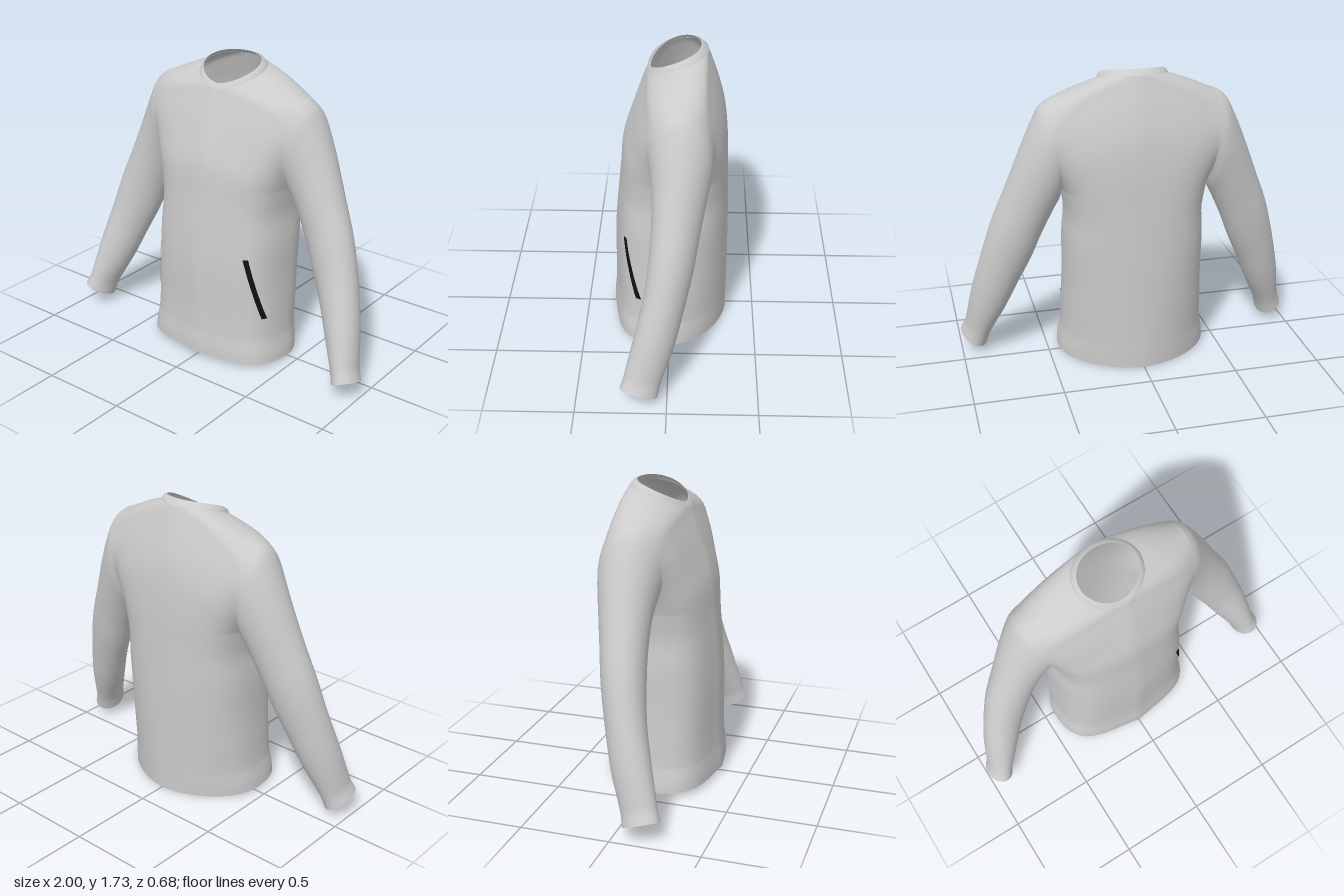
import * as THREE from 'three';
import { mergeGeometries, mergeVertices } from 'three/addons/utils/BufferGeometryUtils.js';

const grey = new THREE.MeshStandardMaterial({ color: 0xcccccc, side: THREE.DoubleSide });
const black = new THREE.MeshStandardMaterial({ color: 0x111111, side: THREE.DoubleSide });
const { lerp, smoothstep } = THREE.MathUtils;

// Smooth curve through rows of [position, ...values]
function smooth(rows) {
  const n = rows[0].length - 1;
  const curve = new THREE.CubicInterpolant(rows.map(r => r[0]), rows.flatMap(r => r.slice(1)), n);
  return p => Array.from(curve.evaluate(p));
}

// Surface from a grid of points; fn(u, v) with u across, v along
function sheet(fn, nu, nv, flip = false) {
  const pos = [], index = [];
  for (let i = 0; i <= nv; i++)
    for (let j = 0; j <= nu; j++) pos.push(...fn(j / nu, i / nv));
  for (let i = 0; i < nv; i++)
    for (let j = 0; j < nu; j++) {
      const a = i * (nu + 1) + j, b = a + 1, c = a + nu + 1, d = c + 1;
      if (flip) index.push(a, c, b, b, c, d);
      else index.push(a, b, c, b, d, c);
    }
  const g = new THREE.BufferGeometry();
  g.setAttribute('position', new THREE.Float32BufferAttribute(pos, 3));
  g.setIndex(index);
  return g;
}

function part(name, sheets, material = grey) {
  const g = mergeVertices(mergeGeometries(sheets), 1e-4);
  g.computeVertexNormals();
  const mesh = new THREE.Mesh(g, material);
  mesh.name = name;
  return mesh;
}

// Profiles by height: centre front, centre back, side seam
const frontZ = smooth([[0, 0.34], [0.08, 0.338], [0.16, 0.33], [0.6, 0.32], [1, 0.283], [1.2, 0.262], [1.4, 0.2], [1.575, 0.133]]);
const backZ = smooth([[0, -0.333], [0.16, -0.335], [0.6, -0.335], [1, -0.327], [1.2, -0.32], [1.4, -0.298], [1.6, -0.242], [1.7, -0.205]]);
const sideX = smooth([[0, 0.442], [0.07, 0.436], [0.16, 0.42], [0.3, 0.414], [0.5, 0.406], [0.75, 0.404], [0.9, 0.394], [1.05, 0.415]]);

// Sleeve rings: [key, top x, top y, bottom x, bottom y, front z, back z, front lift]
const sleeveRing = smooth([
  [0, 0.49, 1.555, 0.415, 1.05, 0.115, -0.235, 0],
  [0.5, 0.53, 1.52, 0.421, 1.027, 0.108, -0.234, 0],
  [1, 0.566, 1.455, 0.43, 1.0, 0.1, -0.23, 0],
  [2, 0.643, 1.28, 0.47, 0.92, 0.088, -0.205, 0],
  [3, 0.73, 1.06, 0.53, 0.79, 0.09, -0.17, 0.01],
  [4, 0.81, 0.86, 0.59, 0.64, 0.105, -0.138, 0.015],
  [5, 0.872, 0.65, 0.66, 0.49, 0.13, -0.095, 0.02],
  [6, 0.93, 0.42, 0.74, 0.31, 0.178, -0.04, 0.03],
  [7, 0.966, 0.22, 0.812, 0.165, 0.222, 0.022, 0.032],
  [7.5, 0.976, 0.17, 0.833, 0.115, 0.234, 0.038, 0.032],
  [8, 1.0, 0.115, 0.848, 0.055, 0.255, 0.05, 0.032]]);

function sleevePoint(key, phi) {
  const [tx, ty, bx, by, zf, zb, lift] = sleeveRing(key);
  const c = Math.cos(phi), s = Math.sin(phi);
  return [(tx + bx + (tx - bx) * c) / 2, (ty + by + (ty - by) * c) / 2 + lift * s, (zf + zb + (zf - zb) * s) / 2];
}

// Neck rings, angle 0 at the front, raised a little at the shoulders
function neckPoint(angle, rx, rz, cz, yFront, yBack) {
  const t = Math.pow((1 - Math.cos(angle)) / 2, 0.7);
  const s = Math.sin(angle);
  return [rx * s, lerp(yFront, yBack, t) + 0.012 * s * s, cz + rz * Math.cos(angle)];
}
const neckSeam = angle => neckPoint(angle, 0.2, 0.169, -0.036, 1.575, 1.7);

// Half panel of the body (+x side). row 0..1 is hem to underarm, 1..2 is underarm to shoulder
const NECK = 0.65;
function bodyPoint(front, row, t) {
  const centreZ = front ? frontZ : backZ;
  const low = Math.min(row, 1);
  let inner, outer;
  if (row <= 1) {
    const y = lerp(0.015, 1.05, row);
    inner = [0, y, centreZ(y)[0]];
    outer = [sideX(y)[0], y, lerp(0.02, -0.06, row)];
  } else {
    const s = row - 1;
    outer = sleevePoint(0, (front ? 1 : -1) * Math.PI * (1 - s));
    if (s < NECK) {
      const y = lerp(1.05, front ? 1.575 : 1.7, s / NECK);
      inner = [0, y, centreZ(y)[0]];
    } else {
      const a = (s - NECK) / (1 - NECK) * Math.PI / 2;
      inner = neckSeam(front ? a : Math.PI - a);
    }
  }
  const dx = outer[0] - inner[0], dy = outer[1] - inner[1], dz = inner[2] - outer[2];
  // the back is rounder at the hem, the front comes to a soft point there
  const reach = lerp(front ? 0.6 : lerp(0.42, 0.6, low), 0.45, smoothstep(row, 1.5, 2));
  const fullness = front ? 0.92 : lerp(0.55, 0.86, low);
  const slope = front ? Math.min(0.15 * dz, 0.06 - 0.04 * low) : 0;
  const p1 = [inner[0] + dx * reach, inner[1] + dy / 3, inner[2] - slope];
  const p2 = [outer[0] - dx * Math.max(0, row - 1) / 3, inner[1] + dy * 2 / 3, outer[2] + dz * fullness];
  const k = 1 - t;
  const p = inner.map((v, i) => k * k * k * v + 3 * k * k * t * p1[i] + 3 * k * t * t * p2[i] + t * t * t * outer[i]);
  // hem is higher at the front than at the back
  p[1] += 0.045 * p[2] * Math.max(0, 1 - p[1] / 1.05);
  return p;
}

// Four mirrored panels between two rows
function bodyPanels(r0, r1, n) {
  const out = [];
  for (const front of [true, false])
    for (const sx of [1, -1])
      out.push(sheet((u, v) => {
        const [x, y, z] = bodyPoint(front, lerp(r0, r1, v), u);
        return [sx * x, y, z];
      }, 18, n, front !== (sx > 0)));
  return out;
}

// Point on the front panel at a given x and row
function onFront(x, row) {
  let lo = 0, hi = 1;
  for (let i = 0; i < 24; i++) {
    const mid = (lo + hi) / 2;
    if (bodyPoint(true, row, mid)[0] < x) lo = mid; else hi = mid;
  }
  return bodyPoint(true, row, lo);
}

export function createModel() {
  const model = new THREE.Group();
  const hemRow = 0.135;

  // Body and hem band
  model.add(part('body', [...bodyPanels(hemRow, 1, 20), ...bodyPanels(1, 2, 20)]));
  model.add(part('hemBand', bodyPanels(0, hemRow, 5)));

  // Collar band
  const collar = [
    neckSeam,
    a => neckPoint(a, 0.188, 0.153, -0.032, 1.595, 1.722),
    a => neckPoint(a, 0.172, 0.137, -0.028, 1.605, 1.728)];
  model.add(part('collar', [sheet((u, v) => collar[Math.round(v * 2)](u * Math.PI * 2), 48, 2)]));

  for (const sx of [1, -1]) {
    const side = sx > 0 ? 'left' : 'right';
    const tube = (k0, k1, n) => sheet((u, v) => {
      const [x, y, z] = sleevePoint(lerp(k0, k1, v), u * Math.PI * 2);
      return [sx * x, y, z];
    }, 40, n, sx < 0);

    // Sleeve and cuff
    model.add(part(side + 'Sleeve', [tube(0, 7, 42)]));
    model.add(part(side + 'Cuff', [tube(7, 8, 6)]));

    // Slanted pocket opening, dark on the left and a narrow welt on the right
    const width = sx > 0 ? 0.026 : 0.012;
    model.add(part(side + 'Pocket', [sheet((u, v) => {
      const [x, y, z] = onFront(lerp(0.375, 0.287, v) + u * width * lerp(0.6, 1, v), lerp(0.275, 0.635, v));
      return [sx * (x + 0.004), y, z + 0.005];
    }, 3, 14, sx < 0)], sx > 0 ? black : grey));
  }
  return model;
}
